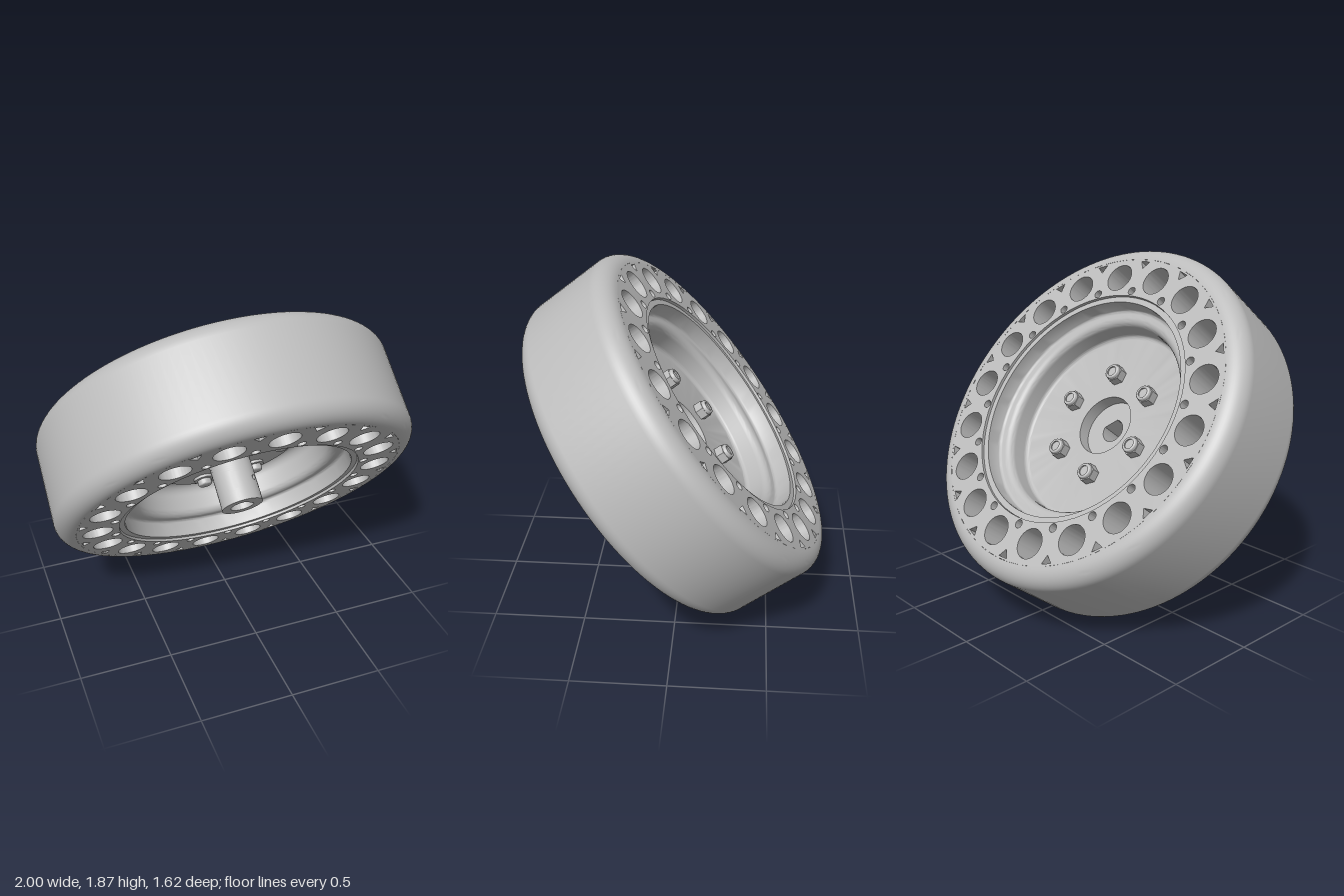
import * as THREE from 'three';
import { toCreasedNormals } from 'three/addons/utils/BufferGeometryUtils.js';
import { ParametricGeometry } from 'three/addons/geometries/ParametricGeometry.js';

const HALF = 0.3;          // half width of the tyre
const TILT = 0.66;         // lean of the wheel, radians
const DEG = Math.PI / 180;
const grey = new THREE.MeshStandardMaterial({ color: 0xbcbcbc, side: THREE.DoubleSide });
grey.name = 'plain grey';

function mesh(name, geometry, crease = 0.6) {
  const m = new THREE.Mesh(crease ? toCreasedNormals(geometry, crease) : geometry, grey);
  m.name = name;
  return m;
}

// Points [radius, axial] turned around the wheel axis (local z)
function turned(name, points, segments = 96) {
  const g = new THREE.LatheGeometry(points.map(([r, a]) => new THREE.Vector2(r, a)), segments);
  return mesh(name, g.rotateX(Math.PI / 2));
}

function arc(cr, ca, radius, from, to, steps = 8) {
  return Array.from({ length: steps + 1 }, (_, i) => {
    const t = (from + (to - from) * i / steps) * DEG;
    return [cr + radius * Math.cos(t), ca + radius * Math.sin(t)];
  });
}

// Point at an angle measured from local up towards +x
const polar = (r, deg) => [r * Math.sin(deg * DEG), r * Math.cos(deg * DEG)];

function circleHole(r, deg, radius) {
  return new THREE.Path().absarc(...polar(r, deg), radius, 0, Math.PI * 2, true);
}

// Perforated half of the tyre; holes are blind and end at the middle web
function tyreHalf(phase) {
  const shape = new THREE.Shape().absarc(0, 0, 0.9, 0, Math.PI * 2, false);
  shape.holes.push(circleHole(0, 0, 0.67));
  for (let i = 0; i < 18; i++) {
    const big = phase + i * 20, gap = big + 10;
    shape.holes.push(circleHole(0.785, big, 0.081), circleHole(0.7, gap, 0.023));
    const tri = [polar(0.843, gap), polar(0.888, gap + 2), polar(0.888, gap - 2)];
    shape.holes.push(new THREE.Path(tri.map(p => new THREE.Vector2(...p))));
  }
  const g = new THREE.ExtrudeGeometry(shape, { depth: HALF - 0.01, bevelEnabled: false, curveSegments: 32 });
  return mesh('perforatedSidewall', g.translate(0, 0, 0.01));
}

// Dish wall from the disc floor out to the rim lip
function dishSide(side, floor, fillet) {
  const points = [
    ...arc(0.556 - fillet, floor + fillet, fillet, -90, 0),
    ...arc(0.6, 0.145, 0.044, 180, 90),
    ...arc(0.616, 0.209, 0.02, -90, 0, 4),
    [0.636, 0.285],
    [0.668, 0.285],
  ];
  return points.map(([r, a]) => [r, a * side]);
}

// Hub barrel wrapped around a small set screw hole
function hubBarrel() {
  const R = 0.115, a0 = 0.105, a1 = 0.35, mid = (a0 + a1) / 2, hole = 0.014;
  const corners = [[-1, -1], [1, -1], [1, 1], [-1, 1], [-1, -1]];
  const wrap = (u, v, target) => {
    const k = Math.min(3, Math.floor(u * 4)), t = u * 4 - k;
    const sx = corners[k][0] + (corners[k + 1][0] - corners[k][0]) * t;
    const sy = corners[k][1] + (corners[k + 1][1] - corners[k][1]) * t;
    const len = Math.hypot(sx, sy), w = Math.pow(v, 1.4);
    const theta = 45 * DEG + (1 - w) * hole / R * sx / len + w * Math.PI * sx;
    const a = mid + (1 - w) * hole * sy / len + w * (a1 - mid) * sy;
    target.set(R * Math.sin(theta), R * Math.cos(theta), a);
  };
  return mesh('hubBarrel', new ParametricGeometry(wrap, 96, 12), 0);
}

// Hub core with a flatted shaft bore
function hubCore() {
  const shape = new THREE.Shape().absarc(0, 0, 0.09, 0, Math.PI * 2, false);
  const bore = new THREE.Path();
  bore.absarc(0, 0, 0.066, 90 * DEG, 360 * DEG, false);
  bore.closePath();
  const flat = new THREE.Path();
  flat.absarc(0, 0, 0.066, 85 * DEG, 365 * DEG, false);
  flat.closePath();
  shape.holes.push(flat);
  const g = new THREE.ExtrudeGeometry(shape, { depth: 0.32, bevelEnabled: false, curveSegments: 40 });
  return mesh('hubCore', g.translate(0, 0, 0.03));
}

// Bolt head on the front, hex lock nut on the back
function fastener(deg) {
  const group = new THREE.Group();
  group.name = 'wheelBolt';
  const [x, y] = polar(0.3, deg);
  group.position.set(x, y, 0);
  group.add(turned('boltHead', [
    [0.057, 0.05], [0.057, 0.07], [0.04, 0.072],
    ...arc(0.027, 0.092, 0.013, 0, 90, 5), [0, 0.105],
  ], 24));
  const hex = new THREE.CylinderGeometry(0.054, 0.054, 0.05, 6).rotateX(Math.PI / 2).translate(0, 0, -0.068);
  group.add(mesh('nut', hex, 0.3));
  group.add(turned('nutCollar', [
    [0, -0.104], [0.028, -0.104], [0.028, -0.112],
    ...arc(0.034, -0.104, 0.01, -90, 0, 5), [0.044, -0.09],
  ], 24));
  return group;
}

export function createModel() {
  const model = new THREE.Group();
  model.name = 'wheel';
  const wheel = new THREE.Group();
  wheel.name = 'tiltedWheel';
  wheel.rotation.x = TILT;
  wheel.position.y = 0.93;
  model.add(wheel);

  // Tyre: rounded tread, two sidewalls with staggered holes, middle web
  wheel.add(turned('tread', [
    ...arc(0.9, -0.2, 0.1, -90, 0, 12),
    ...arc(0.9, 0.2, 0.1, 0, 90, 12),
  ], 128));
  const back = tyreHalf(7.5);
  back.rotation.y = Math.PI;
  wheel.add(tyreHalf(2.5), back);
  wheel.add(mesh('tyreWeb', new THREE.RingGeometry(0.67, 0.9, 96), 0));

  // Rim and disc: back recess, back dish, lip, front dish, raised boss, hub fillet
  wheel.add(turned('rim', [
    [0.089, 0.03], [0.171, 0.03], [0.171, -0.045],
    ...dishSide(-1, 0.045, 0.025),
    ...dishSide(1, 0.005, 0.06).reverse(),
    [0.395, 0.005], [0.395, 0.055],
    ...arc(0.165, 0.105, 0.05, 270, 180),
  ]));

  // Hub with set screw hole and end face
  wheel.add(hubBarrel(), hubCore());
  wheel.add(mesh('hubEnd', new THREE.RingGeometry(0.089, 0.115, 64).translate(0, 0, 0.35), 0));
  const screw = mesh('setScrewHole', new THREE.CylinderGeometry(0.014, 0.014, 0.028, 20, 1, true), 0);
  const [sx, sy] = polar(0.101, 45);
  screw.position.set(sx, sy, 0.2275);
  screw.rotation.z = -45 * DEG;
  wheel.add(screw);

  for (let i = 0; i < 6; i++) wheel.add(fastener(15.5 + i * 60));
  return model;
}
